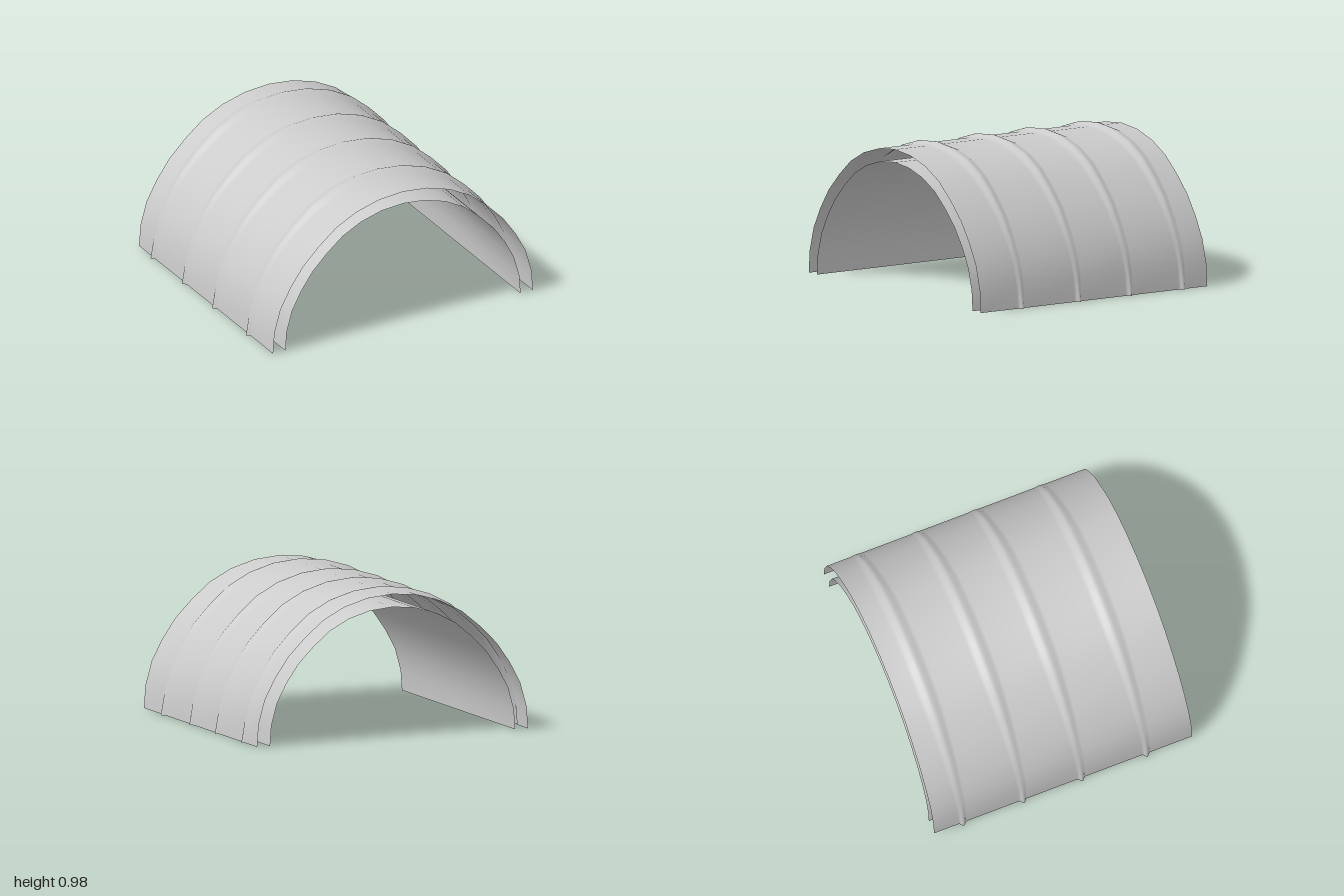
import * as THREE from 'three';

const LENGTH = 1.83;

// Half arch from crown to foot: x, y, rib height, rib half width
const HALF_ARCH = [
  [0, 0.957, 0.023, 0.07],
  [0.18, 0.94, 0.023, 0.07],
  [0.35, 0.89, 0.022, 0.069],
  [0.5, 0.812, 0.02, 0.063],
  [0.63, 0.705, 0.017, 0.056],
  [0.75, 0.585, 0.013, 0.049],
  [0.845, 0.45, 0.008, 0.043],
  [0.92, 0.31, 0.004, 0.037],
  [0.965, 0.15, 0.005, 0.031],
  [0.976, 0, 0.024, 0.026],
];
// Full arch from the left foot over the crown to the right foot
const ARCH = [
  ...HALF_ARCH.slice(1).reverse(),
  ...HALF_ARCH.map(([x, y, h, w]) => [-x, y, h, w]),
];

const RIB_Z = [-0.712, -0.285, 0.128, 0.588];
// Rib section: position across the width, share of the height
const RIB_SECTION = [[-1, 0], [-0.6, 0.42], [-0.22, 0.9], [0, 1], [0.22, 0.9], [0.6, 0.42], [1, 0]];

// Joins equal-length rows of points into one smooth sheet
function sheet(name, rows, material, inward = false) {
  const cols = rows[0].length;
  const index = [];
  for (let i = 0; i < rows.length - 1; i++) {
    for (let j = 0; j < cols - 1; j++) {
      const a = i * cols + j, b = a + cols;
      if (inward) index.push(a, a + 1, b, b, a + 1, b + 1);
      else index.push(a, b, a + 1, b, b + 1, a + 1);
    }
  }
  const geometry = new THREE.BufferGeometry();
  geometry.setAttribute('position', new THREE.Float32BufferAttribute(rows.flat(2), 3));
  geometry.setIndex(index);
  geometry.computeVertexNormals();
  const mesh = new THREE.Mesh(geometry, material);
  mesh.name = name;
  return mesh;
}

// Outer row along z, swelling outward at each rib
function outerRow([x, y, height, width]) {
  const r = Math.hypot(x, y);
  const row = [[x, y, -LENGTH / 2]];
  for (const z of RIB_Z) {
    for (const [across, rise] of RIB_SECTION) {
      const k = 1 + (height * rise) / r;
      row.push([x * k, y * k, z + across * width]);
    }
  }
  row.push([x, y, LENGTH / 2]);
  return row;
}

export function createModel() {
  const group = new THREE.Group();
  group.name = 'ribbedArchShelter';
  const material = new THREE.MeshStandardMaterial({ color: 0xcccccc, side: THREE.DoubleSide });

  // Ribbed outer skin
  group.add(sheet('outerSkin', ARCH.map(outerRow), material));

  // Plain inner lining, set in from the outer skin
  const lining = ARCH.map(([x, y]) =>
    [-LENGTH / 2, LENGTH / 2].map((z) => [x * 0.905, y * 0.91, z]));
  group.add(sheet('innerLining', lining, material, true));

  return group;
}
